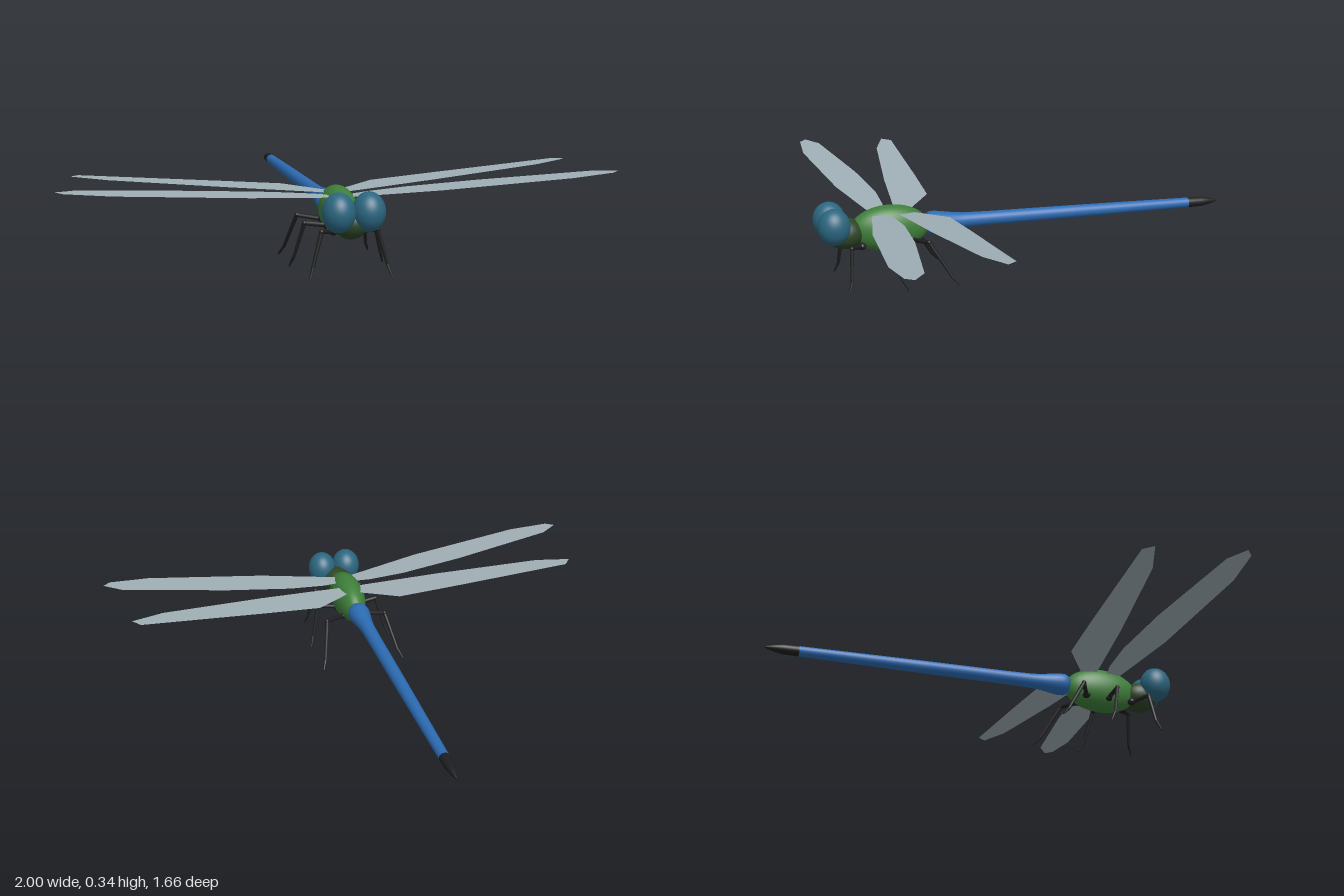
import * as THREE from 'three';

const mat = (name, color, side = THREE.FrontSide) => {
  const m = new THREE.MeshStandardMaterial({ color, side });
  m.name = name;
  return m;
};

export function createModel() {
  const model = new THREE.Group();
  model.name = 'dragonfly';
  const green = mat('thorax green', 0x3f7f3a);
  const darkGreen = mat('head dark green', 0x2d4426);
  const teal = mat('eye teal', 0x2b6680);
  const blue = mat('abdomen blue', 0x2c6cb4);
  const black = mat('leg black', 0x1e1e20);
  const wingGrey = mat('wing grey', 0x9fafb5, THREE.DoubleSide);

  const add = (name, geometry, material) => {
    const mesh = new THREE.Mesh(geometry, material);
    mesh.name = name;
    model.add(mesh);
    return mesh;
  };
  const ellipsoid = (name, pos, radii, material) => {
    const g = new THREE.SphereGeometry(1, 32, 20).scale(...radii).translate(...pos);
    return add(name, g, material);
  };

  // Turned body section along z from [radius, z] pairs, sloping gently to the tail
  const turned = (name, profile, material) => {
    const points = profile.map(([r, z]) => new THREE.Vector2(r, -z));
    const g = new THREE.LatheGeometry(points, 24).rotateX(-Math.PI / 2);
    const p = g.attributes.position;
    for (let i = 0; i < p.count; i++) p.setY(i, p.getY(i) + 0.206 + 0.0155 * p.getZ(i));
    add(name, g, material);
  };

  // Tapered rod between two points
  const rod = (name, a, b, ra, rb) => {
    const from = new THREE.Vector3(...a), to = new THREE.Vector3(...b);
    const dir = to.clone().sub(from);
    const mesh = add(name, new THREE.CylinderGeometry(rb, ra, dir.length(), 8), black);
    mesh.position.copy(from).add(to).multiplyScalar(0.5);
    mesh.quaternion.setFromUnitVectors(new THREE.Vector3(0, 1, 0), dir.normalize());
  };

  // Flat wing from an [x, z] outline, rising steadily outwards
  const wing = (name, outline, side) => {
    const shape = new THREE.Shape(outline.map(([x, z]) => new THREE.Vector2(x * side, z)));
    const g = new THREE.ShapeGeometry(shape).rotateX(Math.PI / 2);
    const p = g.attributes.position;
    for (let i = 0; i < p.count; i++) p.setY(i, 0.265 + 0.073 * Math.abs(p.getX(i)));
    g.computeVertexNormals();
    add(name, g, wingGrey);
  };

  // Thorax and head
  ellipsoid('thorax', [0, 0.206, 0.543], [0.065, 0.09, 0.153], green);
  ellipsoid('head', [0, 0.2, 0.715], [0.063, 0.06, 0.075], darkGreen);

  // Abdomen with its dark pointed tip
  turned('abdomen', [[0, 0.402], [0.036, 0.4], [0.043, 0.385], [0.044, 0.365], [0.041, 0.34],
    [0.033, 0.29], [0.029, 0.25], [0.027, 0.15], [0.025, -0.2], [0.02, -0.7]], blue);
  turned('tailTip', [[0.02, -0.7], [0.019, -0.76], [0.014, -0.79], [0.006, -0.822], [0, -0.83]], black);

  const foreOutline = [[0.03, 0.56], [0.1, 0.545], [0.245, 0.54], [0.51, 0.567], [0.93, 0.64],
    [1, 0.688], [0.97, 0.716], [0.81, 0.73], [0.34, 0.68], [0.03, 0.615]];
  const hindOutline = [[0.03, 0.45], [0.17, 0.35], [0.4, 0.34], [0.9, 0.325], [0.93, 0.362],
    [0.8, 0.412], [0.38, 0.475], [0.03, 0.515]];

  // Joints of each leg: hip, knee, ankle, toe
  const legs = {
    front: [[0.045, 0.156, 0.66], [0.1, 0.168, 0.71], [0.133, 0.045, 0.72], [0.147, 0.004, 0.735]],
    middle: [[0.045, 0.158, 0.558], [0.128, 0.17, 0.562], [0.159, 0.045, 0.533], [0.173, 0.004, 0.512]],
    hind: [[0.04, 0.162, 0.465], [0.125, 0.172, 0.42], [0.157, 0.035, 0.338], [0.172, 0.004, 0.31]],
  };
  const radii = [0.009, 0.008, 0.006, 0.003];

  for (const side of [1, -1]) {
    const label = side > 0 ? 'left' : 'right';
    ellipsoid(`${label}Eye`, [0.053 * side, 0.243, 0.765], [0.058, 0.07, 0.062], teal);
    wing(`${label}Forewing`, foreOutline, side);
    wing(`${label}Hindwing`, hindOutline, side);
    for (const [place, joints] of Object.entries(legs)) {
      const pts = joints.map(([x, y, z]) => [x * side, y, z]);
      const name = `${label} ${place} leg`;
      ellipsoid(`${name} hip`, pts[0], [0.016, 0.014, 0.016], black);
      ellipsoid(`${name} knee`, pts[1], [0.009, 0.009, 0.009], black);
      ['thigh', 'shin', 'foot'].forEach((part, i) =>
        rod(`${name} ${part}`, pts[i], pts[i + 1], radii[i], radii[i + 1]));
    }
  }
  return model;
}
